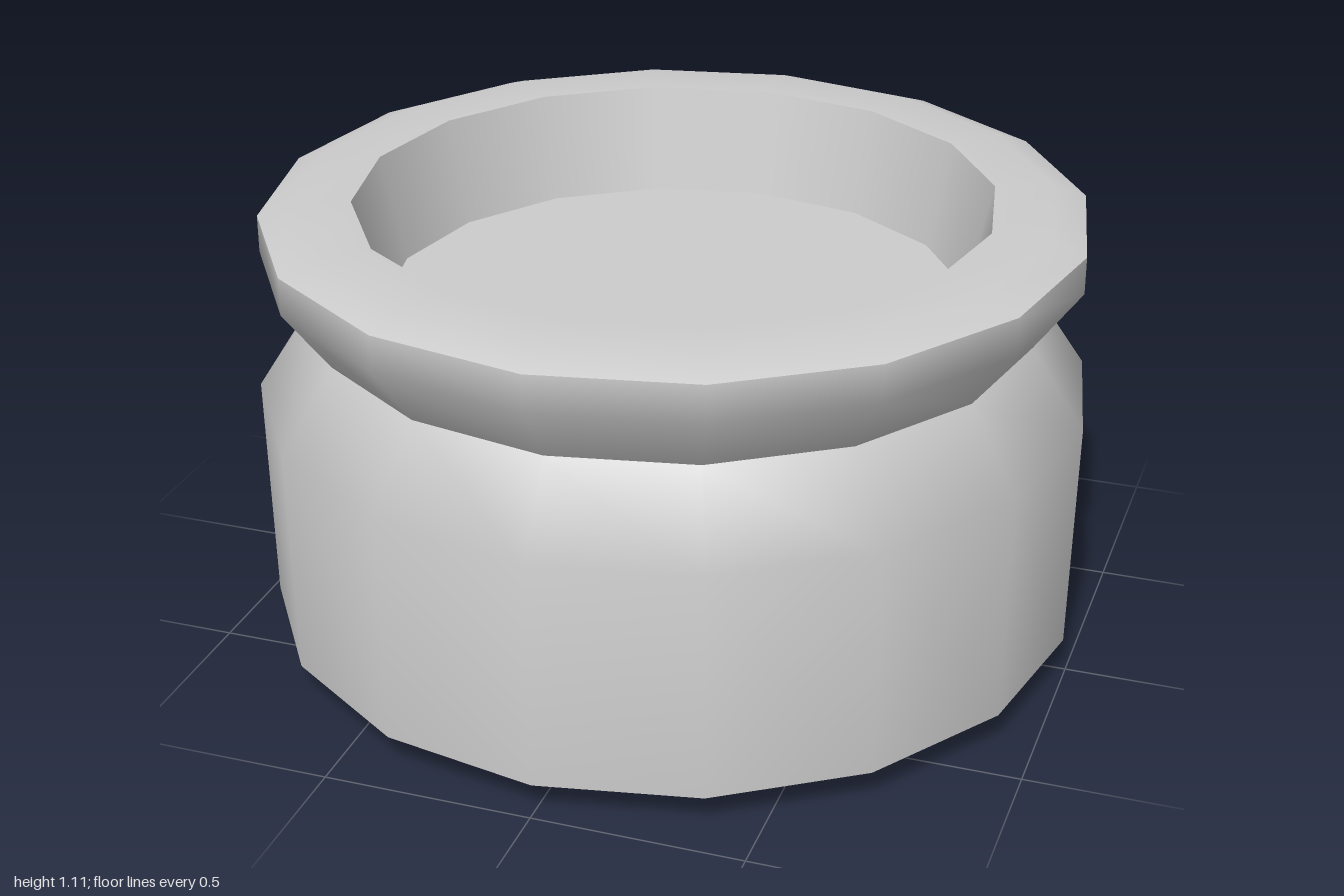
import * as THREE from 'three';

const SIDES = 16;

export function createModel() {
  const group = new THREE.Group();
  group.name = 'jar';
  const grey = new THREE.MeshStandardMaterial({ color: 0xcccccc });
  grey.name = 'light grey';

  // Each band is smooth within itself; edges between bands stay sharp.
  const addBand = (name, profile) => {
    const points = profile.map(([r, y]) => new THREE.Vector2(r, y));
    const mesh = new THREE.Mesh(new THREE.LatheGeometry(points, SIDES), grey);
    mesh.name = name;
    group.add(mesh);
  };

  // Underside with its bevelled rim
  addBand('base', [[0, 0], [0.87, 0], [0.99, 0.08]]);
  // Slightly flared wall and sloping shoulder up to the neck groove
  addBand('body', [[0.99, 0.08], [1.0, 0.645], [0.87, 0.84]]);
  // Flaring outside of the lip
  addBand('lip', [[0.87, 0.84], [0.98, 0.99], [0.98, 1.08]]);
  // Bevelled top of the lip
  addBand('rim', [[0.98, 1.08], [0.9, 1.11], [0.76, 1.11]]);
  // Tapered recess and its floor
  addBand('innerWall', [[0.76, 1.11], [0.7, 0.85]]);
  addBand('recessFloor', [[0.7, 0.85], [0, 0.85]]);

  return group;
}
